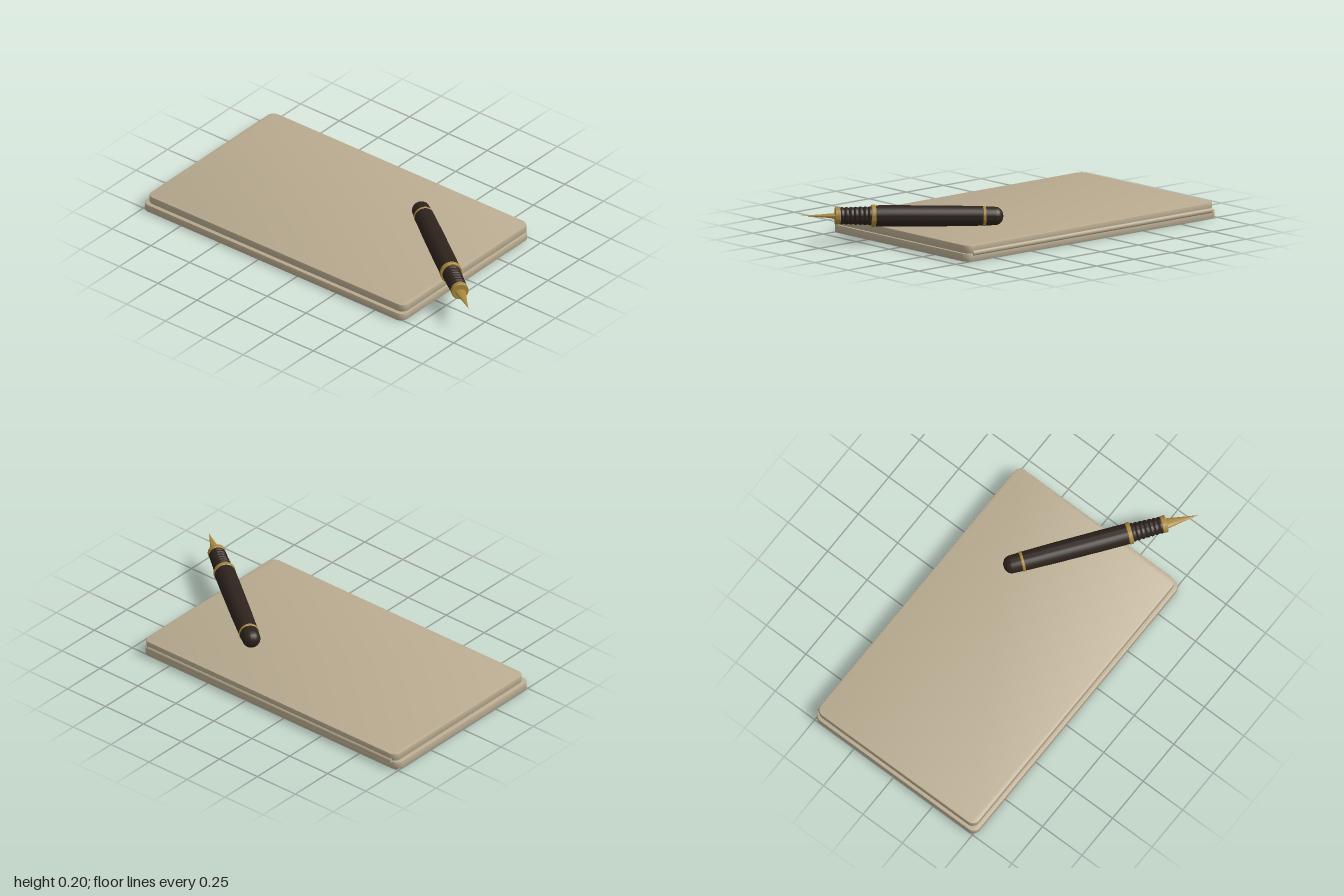
import * as THREE from 'three';
import { toCreasedNormals } from 'three/addons/utils/BufferGeometryUtils.js';

const material = (color) => new THREE.MeshStandardMaterial({ color });

function addMesh(parent, name, geometry, mat) {
  const mesh = new THREE.Mesh(geometry, mat);
  mesh.name = name;
  parent.add(mesh);
  return mesh;
}

// Flat slab with rounded corners and a small bevel, given by its bounds
function slab(x0, x1, y0, y1, z0, z1, radius, bevel) {
  const w = (x1 - x0) / 2 - bevel, d = (z1 - z0) / 2 - bevel, r = radius - bevel;
  const s = new THREE.Shape();
  s.moveTo(-w + r, -d);
  s.absarc(w - r, -d + r, r, -Math.PI / 2, 0);
  s.absarc(w - r, d - r, r, 0, Math.PI / 2);
  s.absarc(-w + r, d - r, r, Math.PI / 2, Math.PI);
  s.absarc(-w + r, -d + r, r, Math.PI, Math.PI * 1.5);
  const g = new THREE.ExtrudeGeometry(s, {
    depth: y1 - y0 - 2 * bevel, bevelSize: bevel, bevelThickness: bevel,
    bevelSegments: 2, curveSegments: 8,
  });
  g.rotateX(-Math.PI / 2);
  g.translate((x0 + x1) / 2, y0 + bevel, (z0 + z1) / 2);
  return toCreasedNormals(g, 0.6);
}

// Turned part; profile is [radius, distance from the nib tip]
function turned(profile) {
  const pts = profile.map(([r, s]) => new THREE.Vector2(r, s));
  return toCreasedNormals(new THREE.LatheGeometry(pts, 40), 0.6);
}

function ring(r, start, end) {
  return turned([[0, start], [r - 0.003, start], [r, start + 0.003], [r, end - 0.003], [r - 0.003, end], [0, end]]);
}

export function createModel() {
  const model = new THREE.Group();
  const cover = material(0xb9ab90), dark = material(0x2e231d), gold = material(0xa8873c);

  // Notebook: two boards joined by a rounded spine
  const notebook = new THREE.Group();
  notebook.name = 'notebook';
  model.add(notebook);
  addMesh(notebook, 'lowerBoard', slab(-0.515, 0.505, 0, 0.041, -1, 0.68, 0.04, 0.004), cover);
  addMesh(notebook, 'upperBoard', slab(-0.497, 0.505, 0.042, 0.083, -0.983, 0.674, 0.04, 0.004), cover);
  const spine = addMesh(notebook, 'spine', new THREE.CylinderGeometry(0.014, 0.014, 1.6, 20), cover);
  spine.rotation.x = Math.PI / 2;
  spine.position.set(0.499, 0.042, -0.16);

  // Pen: local +y runs from the nib tip to the tail
  const pen = new THREE.Group();
  pen.name = 'pen';
  model.add(pen);
  const tip = new THREE.Vector3(-0.383, 0.146, 1.0);
  const axis = new THREE.Vector3(0.226, 0.128, 0.189).sub(tip);
  const length = axis.length();
  axis.normalize();
  const side = new THREE.Vector3(0, 1, 0).cross(axis).normalize();
  const up = side.clone().cross(axis);
  pen.quaternion.setFromRotationMatrix(new THREE.Matrix4().makeBasis(side, axis, up));
  pen.position.copy(tip);

  // Flattened nib
  const nib = addMesh(pen, 'nib', turned([[0, 0], [0.006, 0.04], [0.014, 0.09], [0.025, 0.15], [0.029, 0.178]]), gold);
  nib.scale.z = 0.45;
  addMesh(pen, 'nibCollar', ring(0.044, 0.168, 0.195), gold);

  // Ribbed grip
  const ribs = 7, g0 = 0.19, g1 = 0.355;
  const grip = [[0, g0]];
  for (let i = 0; i <= ribs * 6; i++) {
    const t = i / (ribs * 6);
    grip.push([0.038 + 0.005 * t + 0.005 * Math.abs(Math.sin(t * ribs * Math.PI)), g0 + (g1 - g0) * t]);
  }
  grip.push([0, g1]);
  addMesh(pen, 'grip', turned(grip), dark);

  // Barrel between its two bands, and the domed tail
  addMesh(pen, 'frontBand', ring(0.056, 0.35, 0.373), gold);
  addMesh(pen, 'barrel', turned([[0, 0.37], [0.053, 0.37], [0.0535, 0.5], [0.052, 0.75], [0.049, 0.915], [0, 0.915]]), dark);
  addMesh(pen, 'rearBand', ring(0.051, 0.91, 0.926), gold);
  const tail = [[0, 0.92], [0.048, 0.92], [0.046, length - 0.04]];
  for (let i = 1; i <= 8; i++) {
    const a = (i / 8) * Math.PI / 2;
    tail.push([i === 8 ? 0 : 0.046 * Math.cos(a), length - 0.04 + 0.04 * Math.sin(a)]);
  }
  addMesh(pen, 'tail', turned(tail), dark);

  return model;
}
